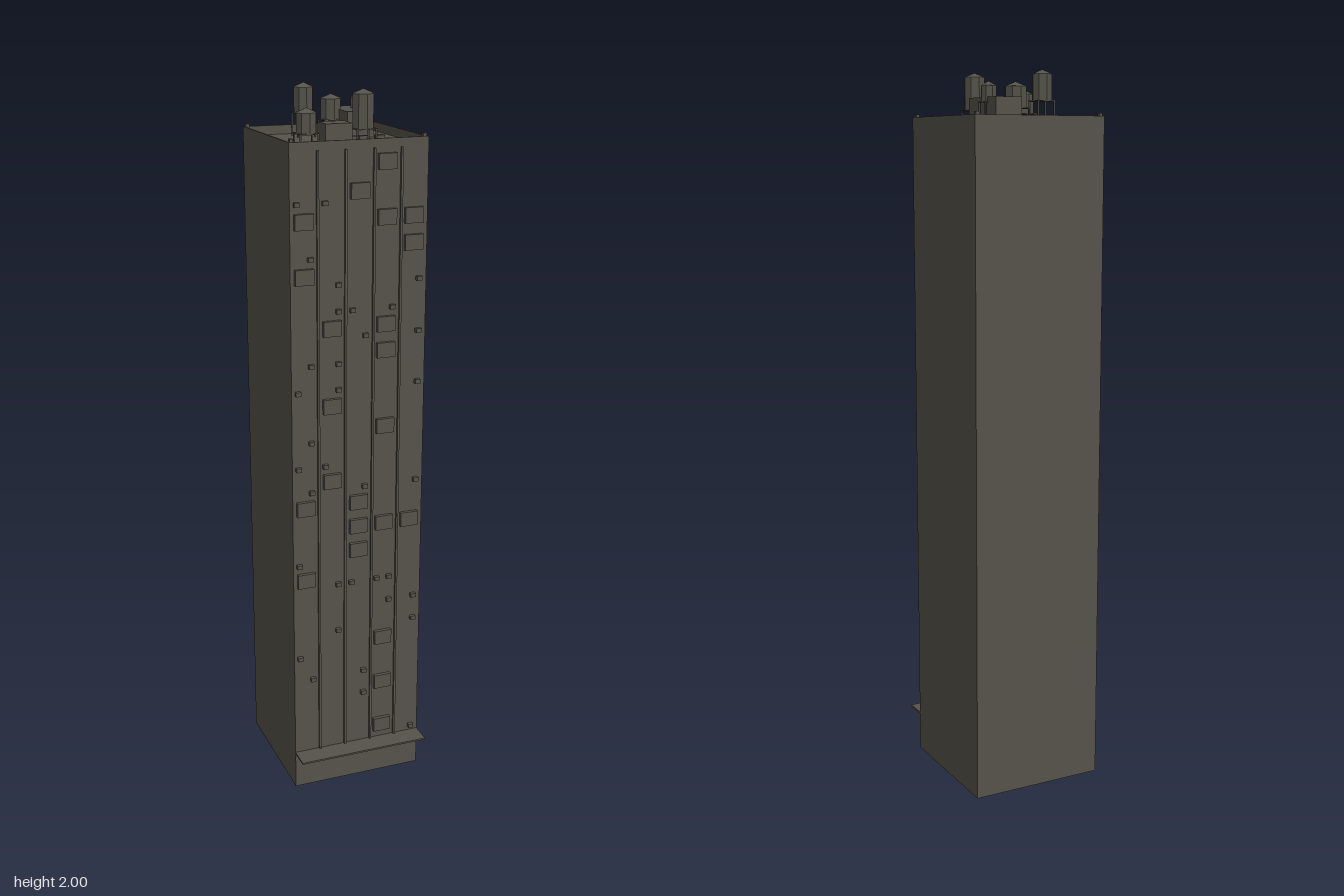
import * as THREE from 'three';

const material = new THREE.MeshStandardMaterial({ color: 0x55534a, flatShading: true, side: THREE.DoubleSide });

// Building extents
const X = 0.194, BACK = -0.225, FRONT = 0.161, TOP = 1.88, ROOF = 1.855;
const DEPTH = FRONT - BACK, MID = (FRONT + BACK) / 2;

function add(parent, name, geometry, x = 0, y = 0, z = 0) {
  const mesh = new THREE.Mesh(geometry, material);
  mesh.name = name;
  mesh.position.set(x, y, z);
  parent.add(mesh);
  return mesh;
}

// Box given by its minimum and maximum on each axis
function box(parent, name, x0, x1, y0, y1, z0, z1) {
  return add(parent, name, new THREE.BoxGeometry(x1 - x0, y1 - y0, z1 - z0),
    (x0 + x1) / 2, (y0 + y1) / 2, (z0 + z1) / 2);
}

// Water tank: legs, platform, octagonal barrel and conical lid
function waterTank(x, z, r, bottom, top) {
  const tank = new THREE.Group();
  tank.name = 'waterTank';
  const h = r * 0.95, lid = 0.012;
  for (const sx of [-1, 1]) for (const sz of [-1, 1]) {
    const lx = sx * (h - 0.003), lz = sz * (h - 0.003);
    box(tank, 'tankLeg', lx - 0.002, lx + 0.002, ROOF, bottom, lz - 0.002, lz + 0.002);
  }
  box(tank, 'tankPlatform', -h, h, bottom - 0.003, bottom, -h, h);
  const height = top - lid - bottom;
  add(tank, 'tankBarrel', new THREE.CylinderGeometry(r * 0.96, r * 0.96, height, 8), 0, bottom + height / 2, 0);
  add(tank, 'tankLid', new THREE.ConeGeometry(r, lid, 8), 0, top - lid / 2, 0);
  tank.position.set(x, 0, z);
  return tank;
}

export function createModel() {
  const model = new THREE.Group();
  model.name = 'tower';

  // Outer walls, open underneath
  for (const s of [-1, 1]) {
    const side = add(model, 'sideWall', new THREE.PlaneGeometry(DEPTH, TOP), s * X, TOP / 2, MID);
    side.rotation.y = s * Math.PI / 2;
    const wall = add(model, s > 0 ? 'frontWall' : 'backWall', new THREE.PlaneGeometry(2 * X, TOP),
      0, TOP / 2, s > 0 ? FRONT : BACK);
    if (s < 0) wall.rotation.y = Math.PI;
  }
  const roof = add(model, 'roof', new THREE.PlaneGeometry(2 * X, DEPTH), 0, ROOF, MID);
  roof.rotation.x = -Math.PI / 2;

  // Parapet rim with a small post in each corner
  const rectangle = (C, w, d) => new C([[-w, -d], [w, -d], [w, d], [-w, d]].map(([a, b]) => new THREE.Vector2(a, b)));
  const rim = rectangle(THREE.Shape, X, DEPTH / 2);
  rim.holes.push(rectangle(THREE.Path, X - 0.005, DEPTH / 2 - 0.005));
  const parapet = add(model, 'parapet',
    new THREE.ExtrudeGeometry(rim, { depth: TOP - ROOF, bevelEnabled: false }), 0, ROOF, MID);
  parapet.rotation.x = -Math.PI / 2;
  for (const x of [-0.185, 0.185]) for (const z of [BACK + 0.009, FRONT - 0.011])
    box(model, 'cornerPost', x - 0.005, x + 0.005, ROOF, 1.888, z - 0.005, z + 0.005);

  // Entrance canopy and vertical pipes between the window bays
  box(model, 'canopy', -X, X, 0.11, 0.115, FRONT, 0.224);
  for (const x of [-0.118, -0.04, 0.04, 0.117])
    box(model, 'facadePipe', x - 0.003, x + 0.003, 0.115, 1.857, FRONT, 0.168);

  // Window boxes: storeys used in each bay
  const bays = [-0.157, -0.079, -0.001, 0.076, 0.153], storey = 0.0723;
  const windowStoreys = [
    [7, 10, 19, 21], [11, 14, 17], [8, 9, 10, 22],
    [0, 2, 4, 9, 13, 16, 17, 21, 23], [9, 20, 21],
  ];
  windowStoreys.forEach((list, i) => list.forEach((n) => {
    const y = 0.159 + n * storey;
    box(model, 'windowBox', bays[i] - 0.026, bays[i] + 0.026, y - 0.021, y + 0.021, FRONT, 0.172);
  }));

  // Small vents at the left and right of each bay: [right-hand side, left-hand side]
  const ventStoreys = [
    [[4, 8, 12, 15, 22], [3, 11, 13, 16, 20]],
    [[12, 22], [5, 7, 15, 16, 18, 19]],
    [[7, 18], [2, 3, 11, 17]],
    [[7], [6, 7, 18]],
    [[], [0, 5, 6, 11, 15, 17, 19]],
  ];
  ventStoreys.forEach((pair, i) => pair.forEach((list, k) => list.forEach((n) => {
    const x = bays[i] + (k ? 0.018 : -0.02), y = 0.132 + n * storey;
    box(model, 'vent', x - 0.0075, x + 0.0075, y - 0.006, y + 0.006, FRONT, 0.172);
  })));

  // Roof housings and small roof units
  box(model, 'stairHousing', -0.078, -0.004, ROOF, 1.917, 0.056, 0.117);
  box(model, 'liftHousing', 0.053, 0.13, ROOF, 1.926, -0.217, -0.063);
  for (const [x, z] of [[0.01, 0.007], [0.038, 0.007], [0.069, 0.007], [0.118, 0.007], [0.118, 0.086]])
    box(model, 'roofUnit', x - 0.012, x + 0.012, ROOF, 1.87, z - 0.009, z + 0.009);

  // Water tanks
  for (const [x, z, r, bottom, top] of [
    [-0.12, 0.087, 0.029, 1.893, 1.957],
    [0.038, 0.087, 0.031, 1.9, 2],
    [-0.042, -0.153, 0.029, 1.92, 2],
    [0.038, -0.153, 0.031, 1.9, 1.967],
    [0.118, -0.153, 0.022, 1.915, 1.967],
  ]) model.add(waterTank(x, z, r, bottom, top));

  return model;
}
